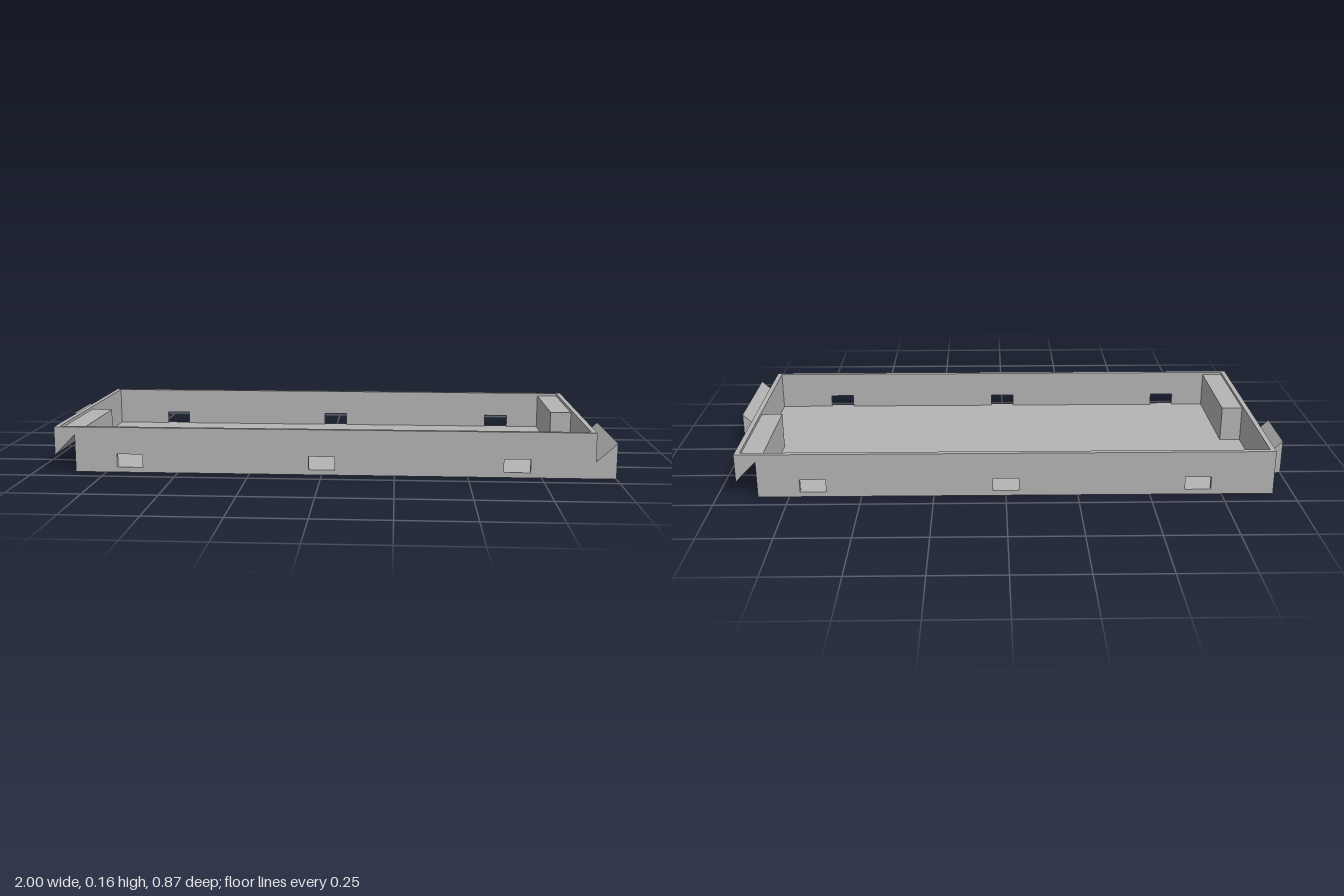
import * as THREE from 'three';

const X = 0.93, Z = 0.437, H = 0.158, T = 0.018; // tray half sizes, height, wall thickness
const LIP = 0.058, PEAK = 0.131;                 // sloped socket roof, outer and inner height
const SX = 0.858, PX = 0.836;                    // socket depth and its housing face
const SZ = 0.04, PZ = 0.018;                     // socket end and its housing face

export function createModel() {
  const grey = new THREE.MeshStandardMaterial({ color: 0xb4b4b4 });
  grey.name = 'grey plastic';
  const model = new THREE.Group();
  model.name = 'interlockingTray';

  // Extrudes an x-y profile from z0 to z1
  function prism(parent, name, points, z0, z1, holes = []) {
    const shape = new THREE.Shape(points.map(p => new THREE.Vector2(...p)));
    for (const h of holes) shape.holes.push(new THREE.Path(h.map(p => new THREE.Vector2(...p))));
    const geometry = new THREE.ExtrudeGeometry(shape, { depth: z1 - z0, bevelEnabled: false });
    geometry.translate(0, 0, z0);
    const mesh = new THREE.Mesh(geometry, grey);
    mesh.name = name;
    parent.add(mesh);
  }
  const rect = (x0, x1, y0, y1) => [[x0, y0], [x1, y0], [x1, y1], [x0, y1]];

  // Main floor panel
  prism(model, 'floor', rect(-PX, PX, 0, T), -Z + T, Z - T);

  // The same half is used twice, turned by 180 degrees
  for (const [name, turn] of [['frontHalf', 0], ['backHalf', Math.PI]]) {
    const half = new THREE.Group();
    half.name = name;
    half.rotation.y = turn;
    model.add(half);

    // Long wall with three slots and the open end of the socket
    prism(half, 'longWall',
      [[-SX, 0], [X, 0], [X, H], [-X, H], [-X, LIP], [-SX, PEAK]], Z - T, Z,
      [-0.667, 0, 0.667].map(x => rect(x - 0.045, x + 0.045, T, 0.064)));

    // End wall and the floor strip beside it
    prism(half, 'endWall', rect(-X, -X + T, 0, H), -Z + T, PZ);
    prism(half, 'floorStrip', rect(-X + T, -PX, 0, T), -Z + T, PZ);

    // Socket: closed inner end, then the hollow run with a sloped roof
    const top = [[-PX, 0.148], [-X + T, 0.148], [-X + T, H], [-X, H]];
    prism(half, 'socketEnd', [[-X, 0], [-PX, 0], ...top], PZ, SZ);
    prism(half, 'socket', [[-X, LIP], [-SX, PEAK], [-SX, 0], [-PX, 0], ...top], SZ, Z - T);
  }

  // Hooks that fit a neighbour's socket
  const hook = s => [[s * X, 0], [s, 0], [s, 0.123], [s * X, LIP]];
  prism(model, 'leftHook', hook(1), 0.044, Z);
  prism(model, 'rightHook', hook(-1), -0.26, -0.046);
  return model;
}
